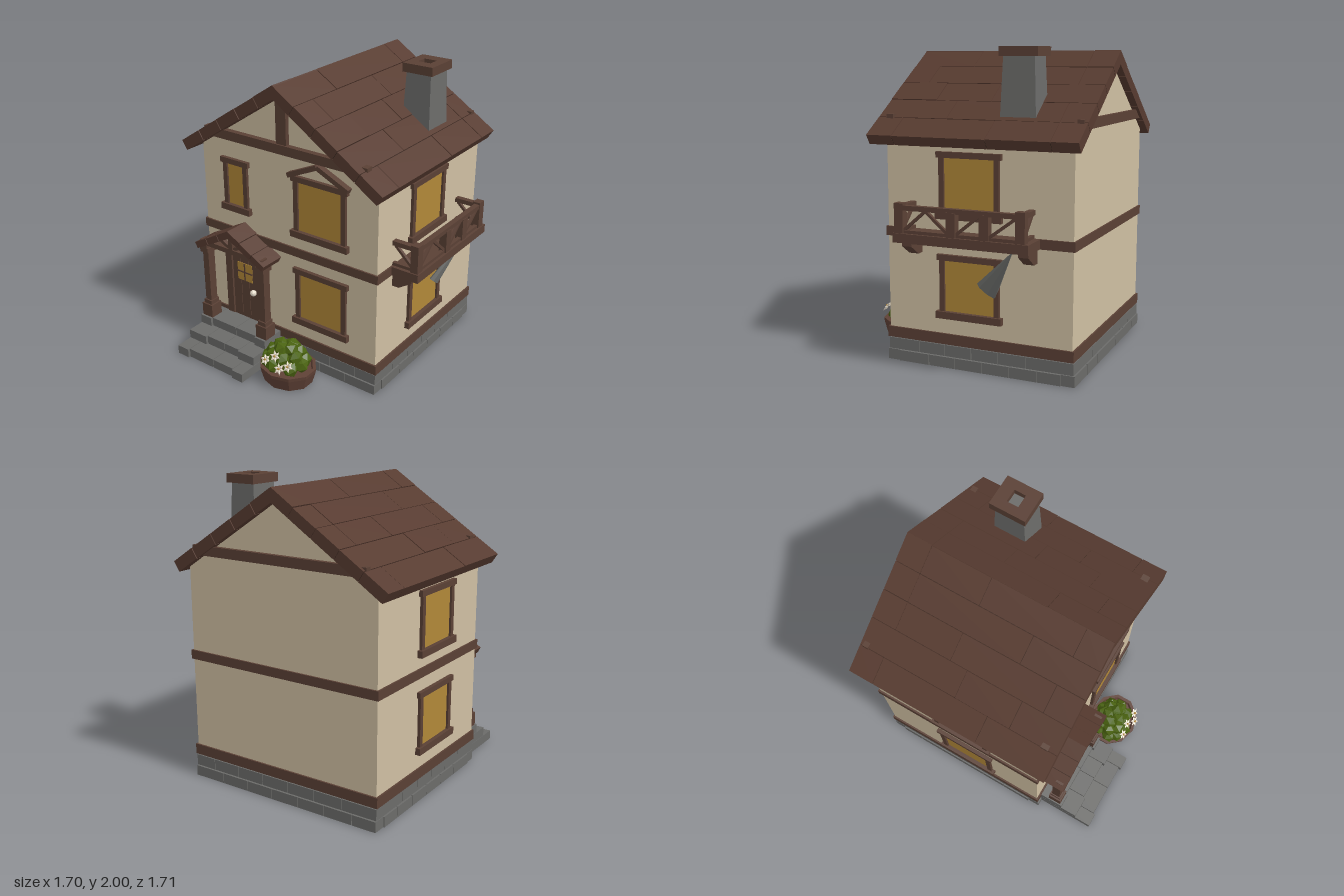
import * as THREE from 'three';

const mat = (name, color, side = THREE.FrontSide) => {
  const m = new THREE.MeshStandardMaterial({ color, side, flatShading: true });
  m.name = name;
  return m;
};
const M = {
  plaster: mat('cream plaster', 0xcfbfa2),
  timber: mat('brown timber', 0x5a4035),
  shingle: mat('roof brown', 0x573b30),
  dark: mat('dark wood', 0x38271f),
  glass: mat('amber glass', 0xb08738),
  stone: mat('grey stone', 0x6b6b69),
  clay: mat('clay pot', 0x5f4136),
  leaf: mat('green leaf', 0x4a6310),
  petal: mat('white petal', 0xe6dccb),
  canvas: mat('grey cloth', 0x70726f, THREE.DoubleSide),
};

function add(parent, name, geo, material) {
  const m = new THREE.Mesh(geo, material);
  m.name = name;
  parent.add(m);
  return m;
}
function group(parent, name) {
  const g = new THREE.Group();
  g.name = name;
  parent.add(g);
  return g;
}
// Box given by its limits on each axis
function box(parent, name, material, x0, x1, y0, y1, z0, z1) {
  const m = add(parent, name, new THREE.BoxGeometry(x1 - x0, y1 - y0, z1 - z0), material);
  m.position.set((x0 + x1) / 2, (y0 + y1) / 2, (z0 + z1) / 2);
  return m;
}
// Sloping bar in the xy plane from a to b, centred on depth z
function bar(parent, name, material, ax, ay, bx, by, thick, z, depth) {
  const m = add(parent, name, new THREE.BoxGeometry(Math.hypot(bx - ax, by - ay), thick, depth), material);
  m.position.set((ax + bx) / 2, (ay + by) / 2, z);
  m.rotation.z = Math.atan2(by - ay, bx - ax);
  return m;
}
function seeded(s) {
  return () => (s = (s * 16807) % 2147483647) / 2147483647;
}

// Framed window facing local +z, with its wall at local z = 0
function windowUnit(parent, name, w, y0, y1, x, z, turn = 0) {
  const g = group(parent, name), h = w / 2;
  box(g, 'pane', M.glass, -h + 0.04, h - 0.04, y0 + 0.03, y1 - 0.02, -0.002, 0.006);
  for (const s of [-1, 1]) {
    const c = s * (h - 0.038);
    box(g, 'jamb', M.timber, c - 0.017, c + 0.017, y0 + 0.04, y1 - 0.03, -0.01, 0.02);
  }
  box(g, 'sill', M.timber, -h, h, y0, y0 + 0.045, -0.01, 0.034);
  box(g, 'lintel', M.timber, -h + 0.005, h - 0.005, y1 - 0.037, y1, -0.01, 0.026);
  g.position.set(x, 0, z);
  g.rotation.y = turn;
  return g;
}

// Two slopes of overlapping planks, meeting along a ridge
function plankRoof(parent, name, ridgeX, ridgeY, angle, len, thick, z0, z1, courses, joints) {
  const rand = seeded(11), roof = group(parent, name);
  for (const s of [-1, 1]) {
    const slope = group(roof, s < 0 ? 'rightSlope' : 'leftSlope');
    slope.position.set(ridgeX, ridgeY, 0);
    slope.rotation.z = -s * angle;
    const span = (a, b) => (s > 0 ? [a, b] : [-b, -a]);
    box(slope, 'underlay', M.dark, ...span(0, len - 0.006), -thick + 0.006, -0.012, z0 + 0.006, z1 - 0.006);
    for (let i = 0; i < courses; i++) {
      const cuts = [z0, ...joints[(i + (s > 0 ? 1 : 0)) % joints.length], z1];
      const a = (i * len) / courses, b = ((i + 1) * len) / courses - 0.005;
      for (let j = 0; j + 1 < cuts.length; j++) {
        const drop = rand() * 0.005;
        box(slope, 'plank', M.shingle, ...span(a, b), -thick, -drop, cuts[j] + (j ? 0.004 : 0), cuts[j + 1]);
      }
    }
  }
}

function foundation(house) {
  const g = group(house, 'foundation');
  box(g, 'core', M.stone, -0.755, 0.645, 0.006, 0.16, -0.81, 0.425);
  box(g, 'floorUnderside', M.glass, -0.65, 0.54, 0.0, 0.007, -0.7, 0.32);
  // Two courses of staggered blocks on every side
  for (let row = 0; row < 2; row++) {
    const y0 = row * 0.073, y1 = y0 + (row ? 0.073 : 0.069), out = row ? 0 : 0.008;
    const run = (a, b, n, put) => {
      const step = (b - a) / n, cuts = [a];
      for (let i = 1; i < n; i++) cuts.push(a + step * (i + (row ? 0.22 : -0.18)));
      cuts.push(b);
      for (let i = 0; i < n; i++) put(cuts[i] + (i ? 0.004 : 0), cuts[i + 1]);
    };
    run(-0.765, 0.655, 7, (a, b) => {
      box(g, 'frontBlock', M.stone, a, b, y0, y1, 0.36, 0.437 + out);
      box(g, 'backBlock', M.stone, a, b, y0, y1, -0.82 - out, -0.74);
    });
    run(-0.74, 0.36, 6, (a, b) => {
      box(g, 'leftBlock', M.stone, 0.58, 0.655 + out, y0, y1, a, b);
      box(g, 'rightBlock', M.stone, -0.765 - out, -0.69, y0, y1, a, b);
    });
  }
}

function porch(house) {
  const g = group(house, 'porch');
  // Three steps, each cut into three blocks
  for (let i = 0; i < 3; i++) {
    const z1 = 0.85 - i * 0.12, cuts = [-0.715, -0.62 + (i % 2) * 0.06, -0.4, -0.22 - (i % 2) * 0.05, -0.125];
    for (let j = 0; j < 4; j++)
      box(g, 'stepBlock', M.stone, cuts[j] + (j ? 0.004 : 0), cuts[j + 1], i * 0.066, (i + 1) * 0.066 - 0.003, 0.42, z1 - (j % 3 ? 0.015 : 0));
  }
  for (const s of [-1, 1]) {
    const x = -0.415 + s * 0.247;
    box(g, 'postBase', M.timber, x - 0.045, x + 0.045, 0.195, 0.29, 0.5, 0.595);
    box(g, 'postCollar', M.timber, x - 0.033, x + 0.033, 0.29, 0.32, 0.508, 0.585);
    box(g, 'post', M.timber, x - 0.025, x + 0.025, 0.29, 0.75, 0.515, 0.575);
    box(g, 'postCap', M.timber, x - 0.035, x + 0.035, 0.7, 0.735, 0.505, 0.59);
    box(g, 'sideBeam', M.timber, x - 0.025, x + 0.025, 0.735, 0.785, 0.42, 0.59);
    bar(g, 'gableBrace', M.timber, -0.415, 0.79, -0.415 + s * 0.12, 0.85, 0.024, 0.565, 0.03);
  }
  box(g, 'tieBeam', M.timber, -0.69, -0.14, 0.762, 0.797, 0.535, 0.59);
  box(g, 'kingPost', M.timber, -0.432, -0.398, 0.79, 0.91, 0.54, 0.59);
  plankRoof(g, 'porchRoof', -0.415, 0.94, 0.5, 0.355, 0.048, 0.42, 0.61, 3, [[]]);

  const d = group(house, 'door');
  box(d, 'frame', M.timber, -0.59, -0.535, 0.2, 0.7, 0.42, 0.455);
  box(d, 'frame', M.timber, -0.315, -0.26, 0.2, 0.7, 0.42, 0.455);
  box(d, 'lintel', M.timber, -0.595, -0.255, 0.675, 0.722, 0.42, 0.462);
  box(d, 'backing', M.dark, -0.54, -0.31, 0.2, 0.68, 0.42, 0.436);
  for (let i = 0; i < 3; i++)
    box(d, 'plank', M.timber, -0.533 + i * 0.073, -0.464 + i * 0.073, 0.2, 0.672, 0.42, 0.442);
  box(d, 'pane', M.glass, -0.49, -0.36, 0.49, 0.625, 0.438, 0.446);
  box(d, 'paneBar', M.timber, -0.43, -0.42, 0.49, 0.625, 0.44, 0.45);
  box(d, 'paneBar', M.timber, -0.49, -0.36, 0.552, 0.562, 0.44, 0.45);
  add(d, 'knob', new THREE.IcosahedronGeometry(0.023, 1), M.petal).position.set(-0.338, 0.43, 0.465);
}

function balcony(house) {
  const g = group(house, 'balcony');
  box(g, 'deck', M.timber, 0.64, 0.85, 0.822, 0.88, -0.605, 0.285);
  box(g, 'topRail', M.timber, 0.8, 0.838, 1.022, 1.052, -0.575, 0.275);
  box(g, 'bottomRail', M.timber, 0.807, 0.833, 0.88, 0.9, -0.575, 0.275);
  const posts = [0.247, -0.105, -0.32, -0.55];
  for (const z of posts) box(g, 'post', M.timber, 0.79, 0.842, 0.88, z === 0.247 || z === -0.55 ? 1.065 : 1.03, z - 0.03, z + 0.03);
  // Outer braces, built in a plane turned to face the side
  const face = group(g, 'railBraces');
  face.rotation.y = Math.PI / 2;
  face.position.x = 0.82;
  for (let i = 0; i < 3; i++) {
    const a = -posts[i] + 0.03, b = -posts[i + 1] - 0.03, m = (a + b) / 2;
    bar(face, 'brace', M.timber, a, 0.9, i ? b : m, 1.025, 0.018, 0, 0.02);
    if (!i) bar(face, 'brace', M.timber, m, 1.025, b, 0.9, 0.018, 0, 0.02);
  }
  for (const z of [0.247, -0.55]) {
    box(g, 'endRail', M.timber, 0.65, 0.81, 1.022, 1.052, z - 0.02, z + 0.02);
    box(g, 'endBottomRail', M.timber, 0.65, 0.81, 0.88, 0.9, z - 0.014, z + 0.014);
    bar(g, 'endBrace', M.timber, 0.665, 1.02, 0.79, 0.9, 0.018, z, 0.02);
  }
  // Tapered brackets under the deck
  const shape = new THREE.Shape([[0.64, 0.73], [0.7, 0.73], [0.79, 0.79], [0.79, 0.825], [0.64, 0.825]].map(p => new THREE.Vector2(...p)));
  for (const z of [0.222, -0.55])
    add(g, 'bracket', new THREE.ExtrudeGeometry(shape, { depth: 0.066, bevelEnabled: false }), M.timber).position.z = z - 0.033;
  // Grey hanging sliver, pointed at the deck and flattened towards the wall
  const tip = new THREE.Vector3(0.775, 0.82, -0.48), foot = new THREE.Vector3(0.665, 0.53, -0.26);
  const cone = new THREE.ConeGeometry(0.075, tip.distanceTo(foot), 7);
  cone.scale(0.3, 1, 1);
  const sliver = add(g, 'hangingSliver', cone, M.canvas);
  sliver.position.copy(tip).add(foot).multiplyScalar(0.5);
  sliver.quaternion.setFromUnitVectors(new THREE.Vector3(0, 1, 0), tip.sub(foot).normalize());
}

function planter(house) {
  const g = group(house, 'planter'), rand = seeded(5);
  g.position.set(0.08, 0, 0.615);
  const profile = [[0, 0], [0.175, 0], [0.2, 0.085], [0.203, 0.11], [0.18, 0.11], [0.17, 0.09], [0, 0.09]];
  add(g, 'pot', new THREE.LatheGeometry(profile.map(p => new THREE.Vector2(...p)), 10), M.clay).scale.z = 0.87;
  const rings = [[9, 0.125, 0.13, 0.055], [7, 0.09, 0.18, 0.056], [4, 0.045, 0.222, 0.056]];
  for (const [n, r, y, size] of rings)
    for (let i = 0; i < n; i++) {
      const a = ((i + rand() * 0.5) / n) * Math.PI * 2;
      const leaf = add(g, 'leafClump', new THREE.IcosahedronGeometry(size, 0), M.leaf);
      leaf.position.set(Math.cos(a) * r - 0.015, y + rand() * 0.015, Math.sin(a) * r * 0.87);
      leaf.rotation.set(rand() * 3, rand() * 3, rand() * 3);
    }
  for (const [x, y, z] of [[-0.085, 0.175, 0.13], [-0.01, 0.225, 0.12], [0.1, 0.19, 0.125], [0.05, 0.17, 0.155]]) {
    const f = group(g, 'flower');
    f.position.set(x, y, z);
    f.rotation.x = 0.9;
    for (let i = 0; i < 6; i++) {
      const p = add(f, 'petal', new THREE.OctahedronGeometry(0.021), M.petal), a = (i * Math.PI) / 3;
      p.scale.set(1, 0.3, 0.5);
      p.position.set(Math.cos(a) * 0.02, 0, Math.sin(a) * 0.02);
      p.rotation.y = -a;
    }
    add(f, 'flowerCentre', new THREE.IcosahedronGeometry(0.009, 0), M.glass).position.y = 0.006;
  }
}

export function createModel() {
  const house = new THREE.Group();
  house.name = 'house';
  foundation(house);

  // Plaster walls with gables
  const outline = [[-0.76, 0.15], [0.65, 0.15], [0.65, 1.44], [-0.055, 1.9], [-0.76, 1.44]];
  add(house, 'walls', new THREE.ExtrudeGeometry(new THREE.Shape(outline.map(p => new THREE.Vector2(...p))), { depth: 1.24, bevelEnabled: false }), M.plaster).position.z = -0.81;
  box(house, 'baseTrim', M.timber, -0.772, 0.662, 0.153, 0.222, -0.822, 0.442);
  box(house, 'floorBand', M.timber, -0.772, 0.662, 0.82, 0.88, -0.822, 0.442);

  // Gable timbers
  box(house, 'frontTieBeam', M.timber, -0.7, 0.59, 1.52, 1.582, 0.42, 0.47);
  box(house, 'backTieBeam', M.timber, -0.7, 0.59, 1.52, 1.582, -0.84, -0.8);
  box(house, 'kingPost', M.timber, -0.1, -0.02, 1.58, 1.91, 0.42, 0.46);

  plankRoof(house, 'roof', -0.058, 1.98, 0.576, 0.955, 0.075, -0.86, 0.53, 5,
    [[-0.69, -0.28, 0.35], [-0.69, 0.09], [-0.69, -0.3, 0.34], [-0.18, 0.2], [-0.69, 0.05]]);

  // Chimney with an open cap
  const shaft = add(house, 'chimneyShaft', new THREE.CylinderGeometry(0.125, 0.147, 0.45, 4, 1).rotateY(Math.PI / 4), M.stone);
  shaft.position.set(0.448, 1.735, -0.412);
  shaft.scale.z = 1.14;
  const cap = group(house, 'chimneyCap');
  for (const s of [-1, 1]) {
    const x = 0.448 + s * 0.0775, z = -0.415 + s * 0.0825;
    box(cap, 'capSide', M.timber, x - 0.0325, x + 0.0325, 1.942, 2, -0.54, -0.29);
    box(cap, 'capEnd', M.timber, 0.4, 0.496, 1.942, 2, z - 0.0425, z + 0.0425);
  }

  // Front windows, one with a small pediment
  windowUnit(house, 'frontLowerWindow', 0.445, 0.325, 0.74, 0.223, 0.43);
  windowUnit(house, 'frontSmallWindow', 0.245, 1.01, 1.385, -0.47, 0.43);
  const fancy = windowUnit(house, 'frontUpperWindow', 0.445, 0.972, 1.395, 0.22, 0.43);
  for (const s of [-1, 1]) bar(fancy, 'pediment', M.timber, s * 0.23, 1.395, 0, 1.498, 0.032, 0.018, 0.05);
  // Matching windows on both sides
  for (const [x, turn] of [[0.65, Math.PI / 2], [-0.76, -Math.PI / 2]]) {
    windowUnit(house, 'sideLowerWindow', 0.445, 0.325, 0.732, x, -0.14, turn);
    windowUnit(house, 'sideUpperWindow', 0.445, 0.955, 1.37, x, -0.14, turn);
  }

  porch(house);
  balcony(house);
  planter(house);
  return house;
}
